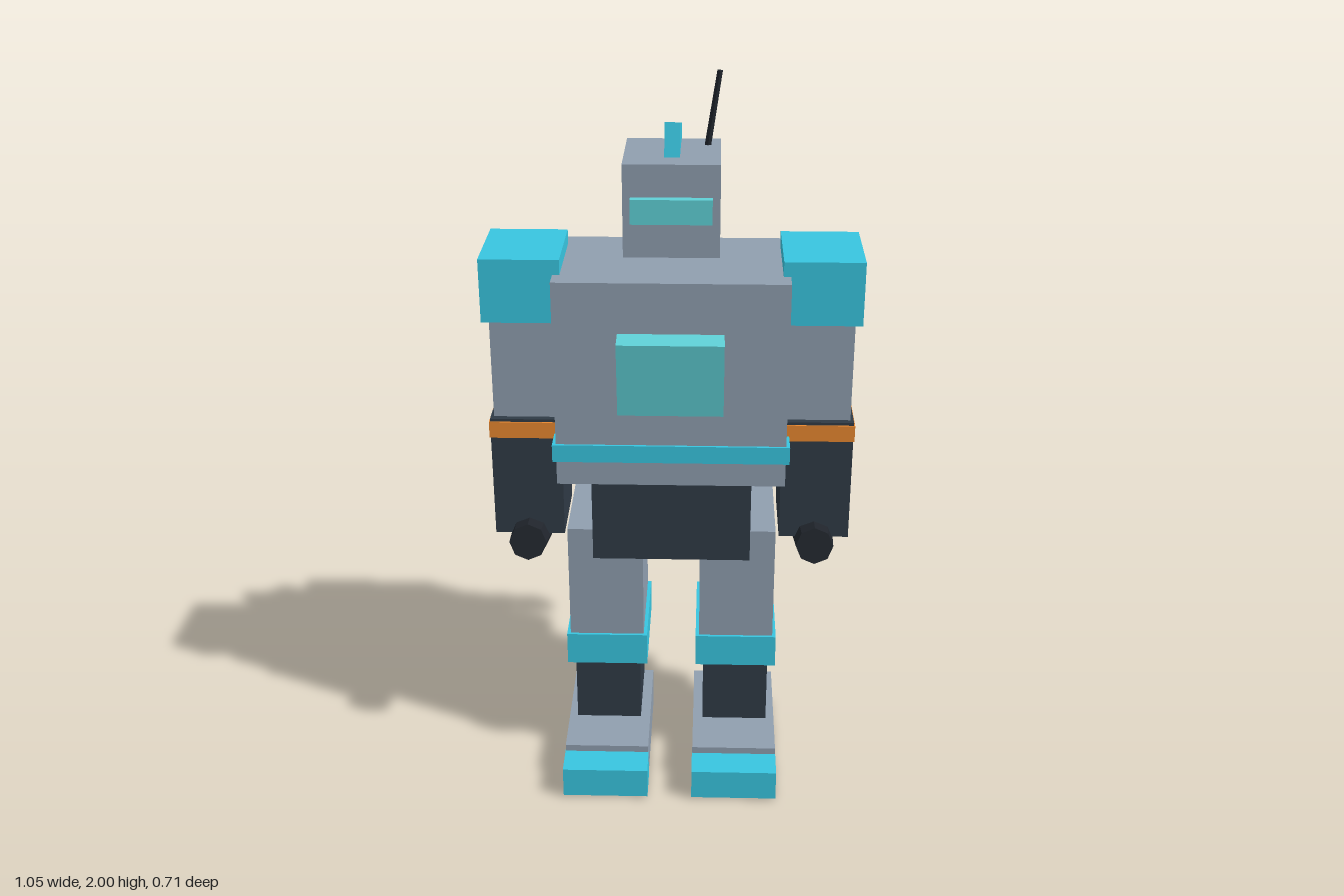
import * as THREE from 'three';

const mat = (color) => new THREE.MeshStandardMaterial({ color, flatShading: true });

export function createModel() {
  const steel = mat(0x8f9eae), dark = mat(0x2f3a45), cyan = mat(0x38c5df);
  const orange = mat(0xe88830), glass = mat(0x5fd0d6), black = mat(0x20252c);
  const model = new THREE.Group();
  model.name = 'robot';

  const add = (parent, name, geometry, material, x, y, z, rx = 0, rz = 0) => {
    const mesh = new THREE.Mesh(geometry, material);
    mesh.name = name;
    mesh.position.set(x, y, z);
    mesh.rotation.set(rx, 0, rz);
    parent.add(mesh);
    return mesh;
  };
  // Box given by its extents on each axis
  const block = (parent, name, material, [x0, x1], [y0, y1], [z0, z1]) =>
    add(parent, name, new THREE.BoxGeometry(x1 - x0, y1 - y0, z1 - z0), material,
      (x0 + x1) / 2, (y0 + y1) / 2, (z0 + z1) / 2);
  const group = (name) => {
    const g = new THREE.Group();
    g.name = name;
    model.add(g);
    return g;
  };

  // Body
  const body = group('body');
  block(body, 'torso', steel, [-0.31, 0.31], [0.93, 1.51], [-0.188, 0.188]);
  block(body, 'waistBand', cyan, [-0.32, 0.32], [1.0, 1.05], [-0.195, 0.195]);
  block(body, 'pelvis', dark, [-0.22, 0.22], [0.675, 0.91], [-0.15, 0.15]);
  add(body, 'chestPanel', new THREE.BoxGeometry(0.28, 0.21, 0.08), glass, 0, 1.264, 0.199, 0.115);

  // Head
  const head = group('head');
  block(head, 'skull', steel, [-0.125, 0.125], [1.56, 1.805], [-0.127, 0.13]);
  block(head, 'visor', glass, [-0.105, 0.105], [1.655, 1.72], [0.1, 0.153]);
  add(head, 'crest', new THREE.BoxGeometry(0.04, 0.16, 0.21), cyan, 0, 1.787, -0.04, -0.25);
  add(head, 'antenna', new THREE.CylinderGeometry(0.008, 0.01, 0.24, 6), black, 0.102, 1.88, -0.068, 0, -0.15);

  // Backpack
  const pack = group('backpack');
  block(pack, 'packBody', dark, [-0.214, 0.214], [1.04, 1.46], [-0.326, -0.182]);
  block(pack, 'packVent', orange, [-0.14, 0.14], [1.145, 1.21], [-0.358, -0.3]);

  for (const s of [1, -1]) {
    const side = s > 0 ? 'left' : 'right';
    const span = (a, b) => (s > 0 ? [a, b] : [-b, -a]);

    // Thruster and drooping wing
    add(pack, side + 'Thruster', new THREE.CylinderGeometry(0.065, 0.09, 0.18, 10), orange,
      s * 0.145, 0.95, -0.25);
    add(pack, side + 'Wing', new THREE.BoxGeometry(0.435, 0.14, 0.047), cyan,
      s * 0.298, 1.332, -0.257, 0, -s * 0.365);

    // Arm
    const arm = group(side + 'Arm');
    block(arm, 'shoulderPad', cyan, span(0.291, 0.503), [1.375, 1.55], [-0.128, 0.128]);
    block(arm, 'upperArm', steel, span(0.308, 0.486), [1.07, 1.4], [-0.1, 0.1]);
    block(arm, 'forearm', dark, span(0.301, 0.495), [0.737, 1.09], [-0.113, 0.118]);
    block(arm, 'elbowBand', orange, span(0.298, 0.498), [1.035, 1.082], [-0.117, 0.122]);
    add(arm, 'hand', new THREE.CylinderGeometry(0.052, 0.062, 0.205, 8), black,
      s * 0.398, 0.722, 0.082, Math.PI / 2 - 0.2);

    // Leg
    const leg = group(side + 'Leg');
    block(leg, 'thigh', steel, span(0.08, 0.291), [0.38, 0.765], [-0.141, 0.145]);
    block(leg, 'kneeBand', cyan, span(0.07, 0.301), [0.325, 0.422], [-0.148, 0.153]);
    block(leg, 'shin', dark, span(0.092, 0.28), [0.1, 0.34], [-0.117, 0.122]);
    block(leg, 'foot', steel, span(0.064, 0.304), [0, 0.115], [-0.12, 0.268]);
    block(leg, 'toe', cyan, span(0.063, 0.305), [0.005, 0.095], [0.262, 0.356]);
    add(leg, 'calfPiston', new THREE.CylinderGeometry(0.03, 0.03, 0.285, 8), orange,
      s * 0.184, 0.372, -0.167);
  }
  return model;
}
